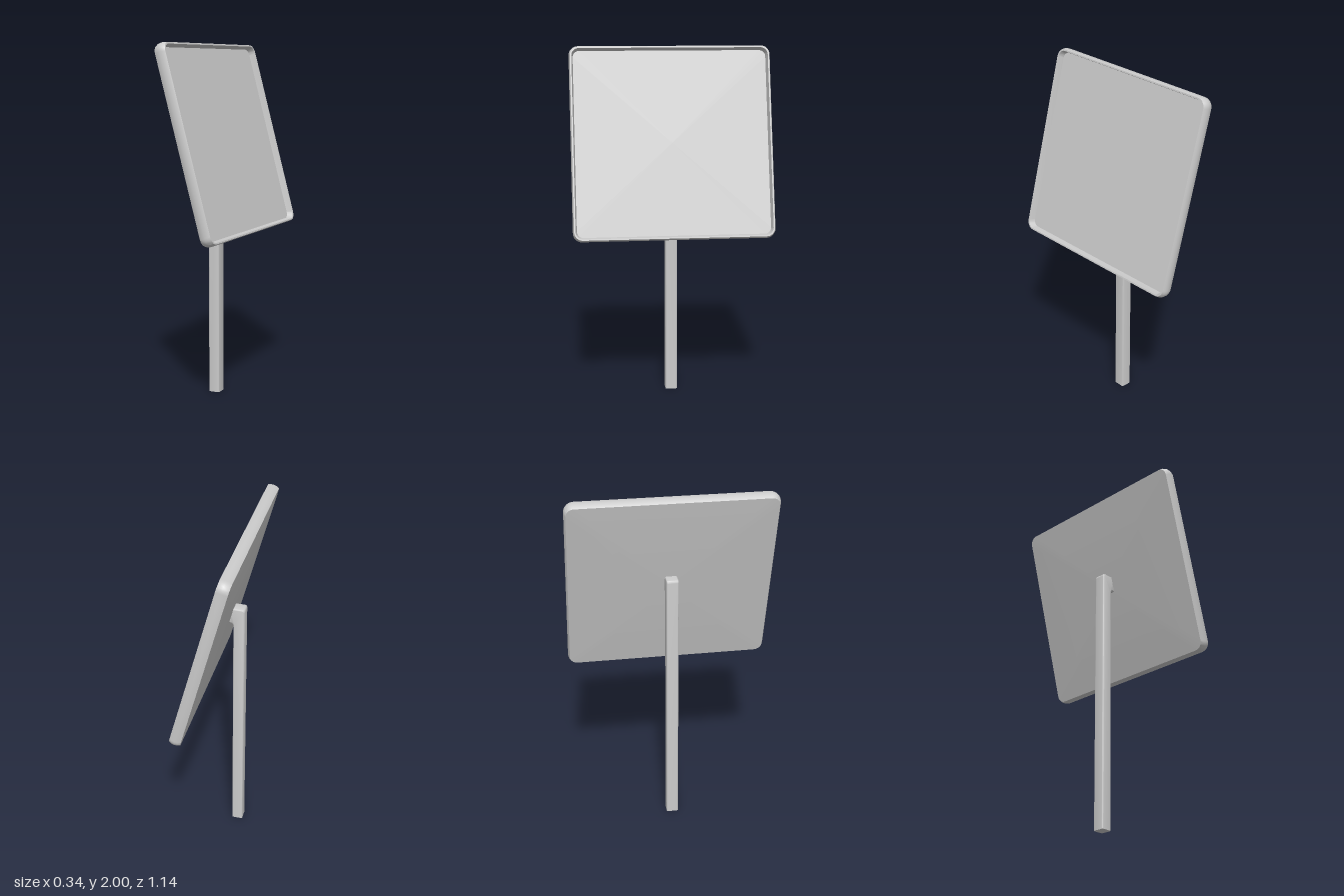
import * as THREE from 'three';
import { toCreasedNormals } from 'three/addons/utils/BufferGeometryUtils.js';

const CORNER_STEPS = 8;

// Rounded rectangle in the y-z plane at depth x, counter-clockwise seen from +x
function ring(halfW, halfH, r, x) {
  const pts = [];
  for (let q = 0; q < 4; q++) {
    const sy = q === 0 || q === 3 ? 1 : -1;
    const sz = q < 2 ? 1 : -1;
    for (let k = 0; k <= CORNER_STEPS; k++) {
      const a = (q + k / CORNER_STEPS) * Math.PI / 2;
      pts.push([x, sy * (halfH - r) + r * Math.cos(a), sz * (halfW - r) + r * Math.sin(a)]);
    }
  }
  return pts;
}

// Skin a series of rings; optional centre points close the first or last ring
function loft(rings, { startX, endX } = {}) {
  const pos = [];
  const n = rings[0].length;
  const tri = (a, b, c) => pos.push(...a, ...b, ...c);
  for (let j = 0; j < n; j++) {
    const k = (j + 1) % n;
    for (let i = 0; i < rings.length - 1; i++) {
      const [a, b, c, d] = [rings[i][j], rings[i][k], rings[i + 1][k], rings[i + 1][j]];
      tri(a, b, c);
      tri(a, c, d);
    }
    if (startX !== undefined) tri([startX, 0, 0], rings[0][k], rings[0][j]);
    const last = rings[rings.length - 1];
    if (endX !== undefined) tri([endX, 0, 0], last[j], last[k]);
  }
  const g = new THREE.BufferGeometry();
  g.setAttribute('position', new THREE.Float32BufferAttribute(pos, 3));
  return toCreasedNormals(g, 0.5);
}

export function createModel() {
  const model = new THREE.Group();
  model.name = 'panelOnPost';
  const material = new THREE.MeshStandardMaterial({ color: 0xcccccc });
  const add = (parent, name, geometry) => {
    const mesh = new THREE.Mesh(geometry, material);
    mesh.name = name;
    parent.add(mesh);
  };

  // Tilted panel, facing +x and slightly upward
  const panel = new THREE.Group();
  panel.name = 'panel';
  panel.position.y = 1.4725;
  panel.rotation.z = THREE.MathUtils.degToRad(15);
  model.add(panel);

  // Slightly domed back, bulging side walls, thin rim and inner wall
  add(panel, 'frame', loft([
    ring(0.32, 0.31, 0.03, -0.040),
    ring(0.559, 0.537, 0.045, -0.033),
    ring(0.566, 0.544, 0.05, -0.018),
    ring(0.568, 0.546, 0.05, 0),
    ring(0.566, 0.544, 0.05, 0.018),
    ring(0.561, 0.539, 0.048, 0.031),
    ring(0.553, 0.531, 0.042, 0.031),
    ring(0.545, 0.522, 0.036, -0.004),
  ], { startX: -0.041 }));

  // Recessed face
  add(panel, 'recessedFace', loft([ring(0.545, 0.522, 0.036, -0.004)], { endX: -0.004 }));

  // Square post with a bent head that reaches into the back of the panel
  const s = new THREE.Shape();
  s.moveTo(-0.119, 0);
  s.lineTo(-0.055, 0);
  s.lineTo(-0.055, 1.415);
  s.quadraticCurveTo(-0.055, 1.435, -0.035, 1.435);
  s.lineTo(-0.015, 1.435);
  s.lineTo(-0.032, 1.525);
  s.lineTo(-0.104, 1.525);
  s.quadraticCurveTo(-0.119, 1.525, -0.119, 1.51);
  s.closePath();
  const bevel = 0.008;
  const post = new THREE.ExtrudeGeometry(s, {
    depth: 0.068 - 2 * bevel, bevelEnabled: true, bevelSize: bevel, bevelThickness: bevel,
    bevelOffset: -bevel, bevelSegments: 3, curveSegments: 6,
  });
  post.translate(0, 0, -0.034 + bevel);
  // Square off the foot so it stands flat
  const p = post.attributes.position;
  for (let i = 0; i < p.count; i++) if (p.getY(i) < 0.02) p.setY(i, 0);
  add(model, 'post', toCreasedNormals(post, 0.6));

  return model;
}
